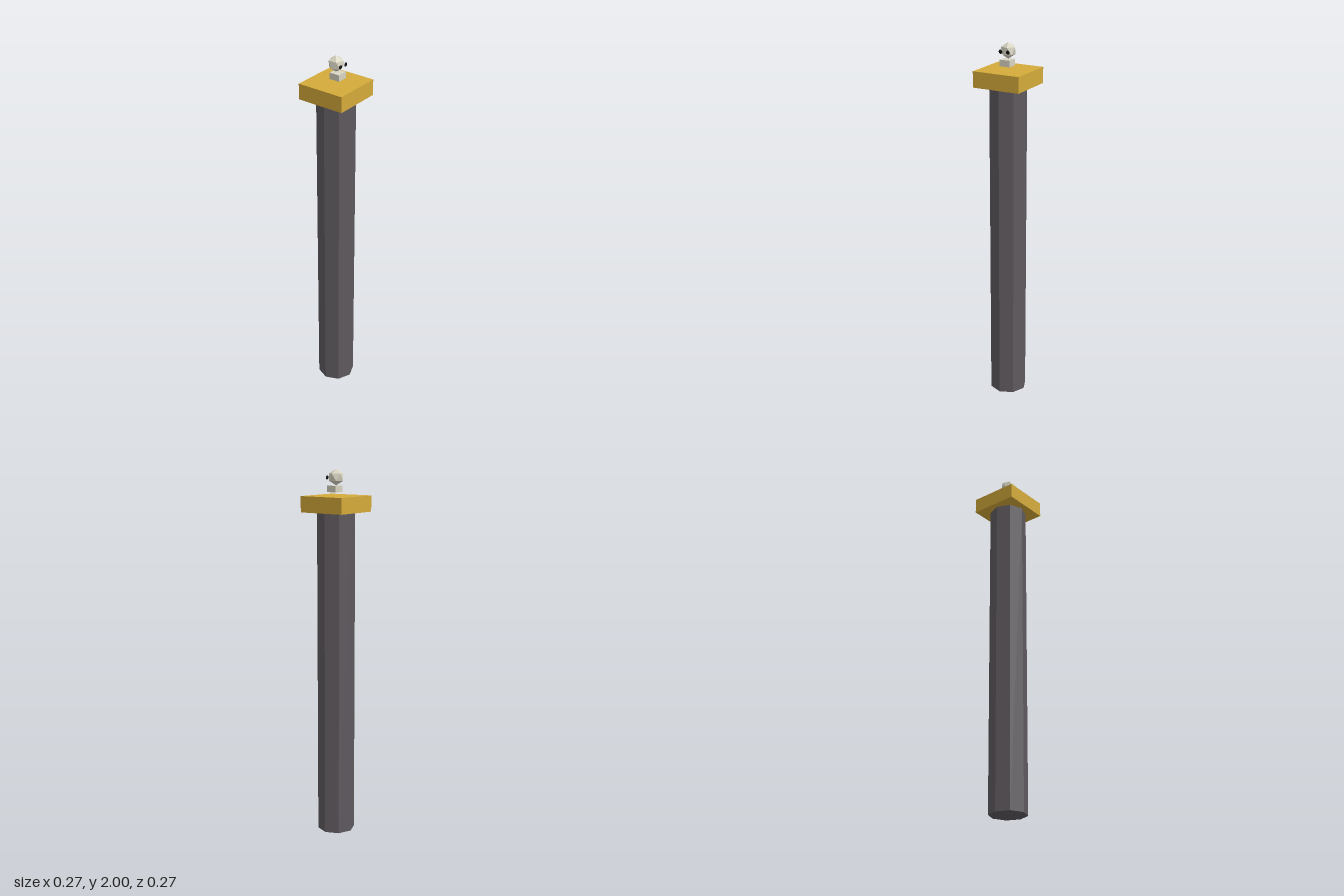
import * as THREE from 'three';

function part(name, geometry, color, x, y, z) {
  const material = new THREE.MeshStandardMaterial({ color, flatShading: true });
  const mesh = new THREE.Mesh(geometry, material);
  mesh.name = name;
  mesh.position.set(x, y, z);
  return mesh;
}

export function createModel() {
  const model = new THREE.Group();
  model.name = 'skullPillar';

  // Octagonal column with a corner facing forward
  const columnHeight = 1.775;
  model.add(part('column', new THREE.CylinderGeometry(0.102, 0.102, columnHeight, 8), 0x5f5a5f, 0, columnHeight / 2, 0));

  // Square golden slab on top
  const capHeight = 0.085;
  model.add(part('capital', new THREE.BoxGeometry(0.266, capHeight, 0.266), 0xd4aa3a, 0, columnHeight + capHeight / 2, 0));

  // Skull hovering above the slab
  const skull = new THREE.Group();
  skull.name = 'skull';
  const bone = 0xd8d4c2;
  const radius = 0.043;

  // Icosahedron tipped so that one corner points straight up
  const craniumGeometry = new THREE.IcosahedronGeometry(radius, 0);
  craniumGeometry.rotateZ(-Math.atan(2 / (1 + Math.sqrt(5))));
  skull.add(part('cranium', craniumGeometry, bone, 0, 2 - radius, 0));

  skull.add(part('jaw', new THREE.BoxGeometry(0.058, 0.034, 0.058), bone, 0, 1.896, 0.01));

  // Flattened dark eye sockets
  for (const side of [-1, 1]) {
    const eyeGeometry = new THREE.SphereGeometry(0.0107, 12, 8);
    eyeGeometry.scale(1, 1, 0.4);
    const name = side > 0 ? 'leftEye' : 'rightEye';
    skull.add(part(name, eyeGeometry, 0x0a0a0a, side * 0.0214, 1.955, 0.043));
  }
  model.add(skull);
  return model;
}
